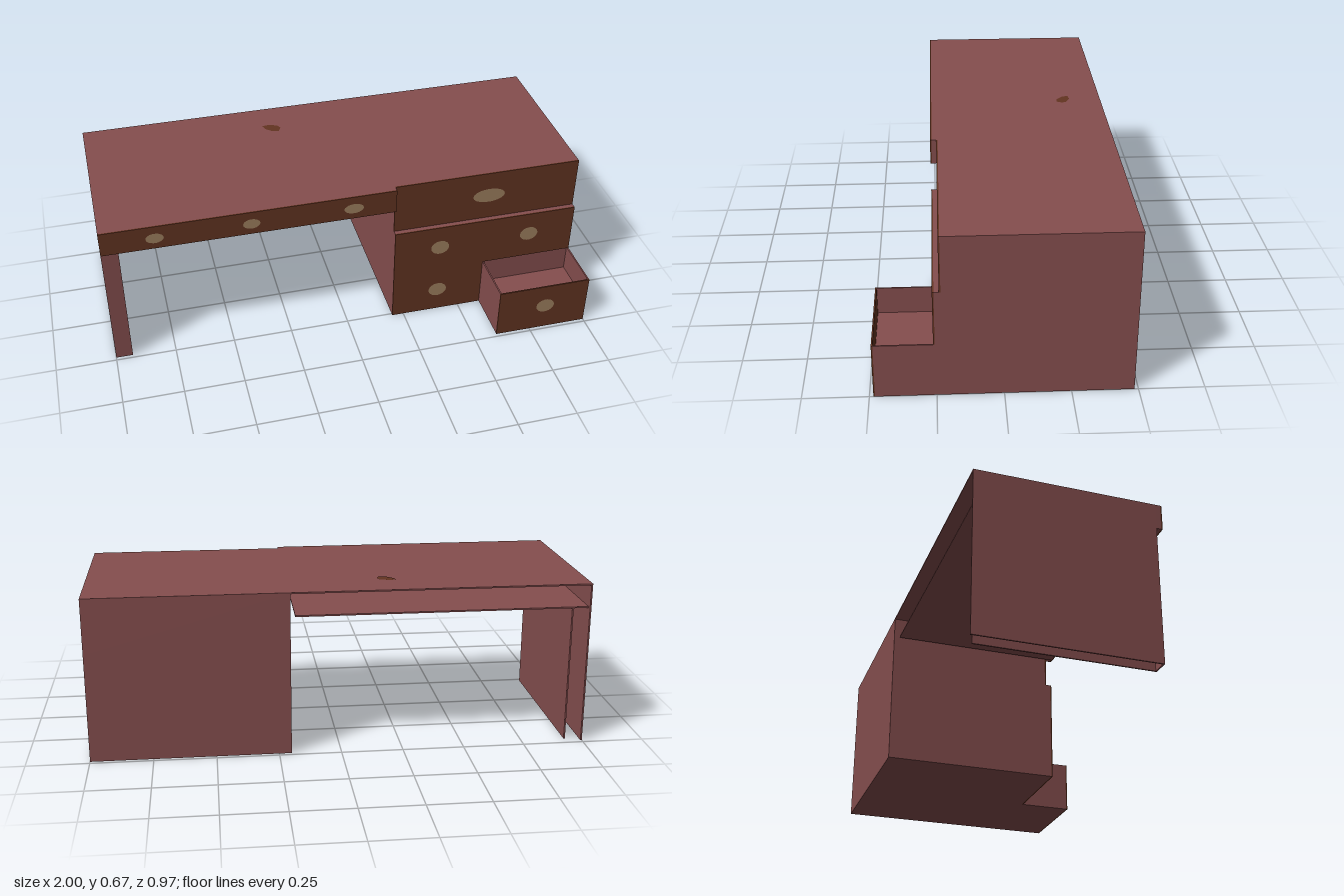
import * as THREE from 'three';

const wood = new THREE.MeshStandardMaterial({ color: 0x854e4e });
wood.name = 'rosewood';
const brown = new THREE.MeshStandardMaterial({ color: 0x633421 });
brown.name = 'dark brown front';
const tan = new THREE.MeshStandardMaterial({ color: 0x9f8060 });
tan.name = 'tan handle';

const T = 0.006; // panel thickness

// Box from its lower and upper limits on each axis
function box(parent, name, mat, x0, x1, y0, y1, z0, z1) {
  const mesh = new THREE.Mesh(new THREE.BoxGeometry(x1 - x0, y1 - y0, z1 - z0), mat);
  mesh.position.set((x0 + x1) / 2, (y0 + y1) / 2, (z0 + z1) / 2);
  mesh.name = name;
  parent.add(mesh);
}

// Flat oval handle facing the front
function handle(parent, x, y, z, rx, ry) {
  const mesh = new THREE.Mesh(new THREE.CircleGeometry(1, 18), tan);
  mesh.scale.set(rx, ry, 1);
  mesh.position.set(x, y, z + 0.002);
  mesh.name = 'handle';
  parent.add(mesh);
}

function group(parent, name) {
  const g = new THREE.Group();
  g.name = name;
  parent.add(g);
  return g;
}

export function createModel() {
  const desk = new THREE.Group();
  desk.name = 'desk';
  const back = -0.485, top = 0.67, front = 0.26, inset = 0.235;

  // Hollow desktop, open at the back
  const desktop = group(desk, 'desktop');
  box(desktop, 'topPanel', wood, -1, 0.2, top - T, top, back, front - T);
  box(desktop, 'bottomPanel', wood, -1 + T, 0.18, 0.565, 0.565 + T, -0.465, front - T);
  box(desktop, 'desktopEnd', wood, -1, -1 + T, 0.565, top - T, inset, front - T);
  box(desktop, 'innerEnd', wood, 0.2 - T, 0.2, 0.565, top - T, inset, front - T);
  box(desktop, 'desktopFront', brown, -1, 0.2, 0.565, top, front - T, front);
  [[-0.785, 0.036], [-0.4, 0.035], [0.02, 0.041]].forEach(([x, r]) => handle(desktop, x, 0.615, front, r, 0.023));

  // Small irregular mark on the desktop
  const outline = [[-0.235, 0.345], [-0.205, 0.35], [-0.17, 0.335], [-0.16, 0.315], [-0.172, 0.292], [-0.2, 0.295], [-0.228, 0.322]];
  const shape = new THREE.Shape(outline.map(([x, y]) => new THREE.Vector2(x, y)).reverse());
  const mark = new THREE.Mesh(new THREE.ShapeGeometry(shape), brown);
  mark.rotation.x = -Math.PI / 2;
  mark.position.y = top + 0.002;
  mark.name = 'desktopMark';
  desktop.add(mark);

  // Hollow side support, open at the back and bottom
  const leg = group(desk, 'sideSupport');
  box(leg, 'outerPanel', wood, -1, -1 + T, 0, top - T, back, inset);
  box(leg, 'innerPanel', wood, -0.93 - T, -0.93, 0, 0.565, -0.46, inset - T);
  box(leg, 'frontPanel', wood, -1 + T, -0.93, 0, 0.565, inset - T, inset);

  // Drawer cabinet with a set-back upper drawer
  const cabinet = group(desk, 'cabinet');
  box(cabinet, 'upperBody', wood, 0.2, 1, 0.445, top, back, inset - T);
  box(cabinet, 'lowerBody', wood, 0.2, 1, 0, 0.445, back, front - T);
  box(cabinet, 'upperDrawerFront', brown, 0.2, 1, 0.445, top, inset - T, inset);
  box(cabinet, 'lowerLeftFront', brown, 0.2, 0.6, 0, 0.445, front - T, front);
  box(cabinet, 'lowerRightFront', brown, 0.6, 1, 0.223, 0.445, front - T, front);
  handle(cabinet, 0.61, 0.56, inset, 0.07, 0.033);
  [[0.4, 0.342], [0.8, 0.342], [0.4, 0.11]].forEach(([x, y]) => handle(cabinet, x, y, front, 0.04, 0.034));

  // Pulled-out drawer, open on top
  const drawer = group(desk, 'openDrawer');
  box(drawer, 'drawerFloor', wood, 0.6 + T, 1 - T, 0, 0.11, front - T, 0.485 - T);
  box(drawer, 'drawerSide', wood, 0.6, 0.6 + T, 0, 0.223, front - T, 0.485 - T);
  box(drawer, 'drawerSide', wood, 1 - T, 1, 0, 0.223, front - T, 0.485 - T);
  box(drawer, 'drawerFront', brown, 0.6, 1, 0, 0.223, 0.485 - T, 0.485);
  handle(drawer, 0.81, 0.12, 0.485, 0.04, 0.034);

  return desk;
}
